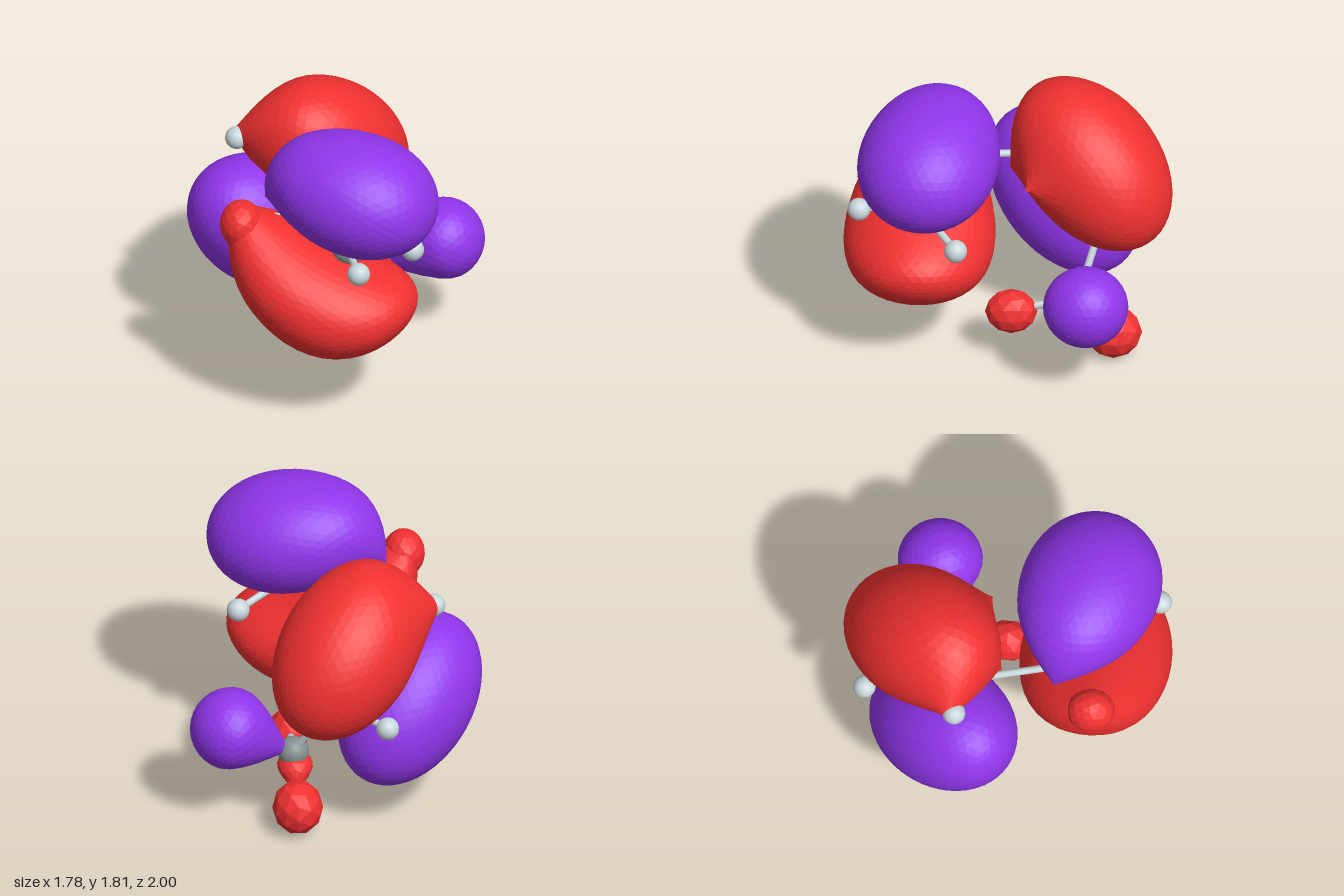
import * as THREE from 'three';

const V = (a) => new THREE.Vector3(...a);
const mat = (color, flatShading = false) => new THREE.MeshStandardMaterial({ color, flatShading });
const RED = mat(0xf03030, true), PURPLE = mat(0x9035ea, true);
const CARBON = mat(0x858f8f), PALE = mat(0xc8d6da);

// Faceted blob: an ellipsoid with its long axis along dir, optionally tapered,
// bent at the ends, and drawn out to tips, each given as [point, sharpness].
function lobe(name, material, { at, dir = [1, 0, 0], size, taper = 0, bend = [0, 0, 0], tips = [], detail = 8 }) {
  const c = V(at), a = V(dir).normalize();
  const w = new THREE.Vector3().crossVectors(a, V([0, 1, 0])).normalize();
  const u = new THREE.Vector3().crossVectors(w, a);
  const pulls = tips.map(([point, sharp]) => ({ point: V(point), sharp, dir: V(point).sub(c).normalize() }));
  const geo = new THREE.IcosahedronGeometry(1, detail);
  const pos = geo.attributes.position;
  const s = new THREE.Vector3(), p = new THREE.Vector3(), rel = new THREE.Vector3();
  for (let i = 0; i < pos.count; i++) {
    s.fromBufferAttribute(pos, i);
    const k = 1 + taper * s.x;
    p.copy(c)
      .addScaledVector(a, s.x * size[0])
      .addScaledVector(u, s.y * size[1] * k)
      .addScaledVector(w, s.z * size[2] * k)
      .addScaledVector(V(bend), s.x * s.x - 0.35);
    for (const pull of pulls) {
      const d = rel.copy(p).sub(c).normalize().dot(pull.dir);
      if (d > 0) p.lerp(pull.point, Math.pow(d, pull.sharp));
    }
    pos.setXYZ(i, p.x, p.y, p.z);
  }
  geo.computeVertexNormals();
  const mesh = new THREE.Mesh(geo, material);
  mesh.name = name;
  return mesh;
}

function ball(name, at, radius, material) {
  const mesh = new THREE.Mesh(new THREE.SphereGeometry(radius, 24, 16), material);
  mesh.position.copy(V(at));
  mesh.name = name;
  return mesh;
}

function bond(from, to) {
  const a = V(from), d = V(to).sub(a);
  const mesh = new THREE.Mesh(new THREE.CylinderGeometry(0.023, 0.023, d.length(), 12), PALE);
  mesh.position.copy(a).addScaledVector(d, 0.5);
  mesh.quaternion.setFromUnitVectors(V([0, 1, 0]), d.normalize());
  mesh.name = 'bond';
  return mesh;
}

export function createModel() {
  const model = new THREE.Group();
  model.name = 'molecularOrbital';

  // Ball-and-stick skeleton
  const carbons = [
    [0.2, 1.1, 0.57], [-0.17, 1.19, 0.38], [-0.3, 1.12, -0.2], [0, 0.88, -0.58], [0.25, 0.43, -0.42],
  ];
  // each hydrogen: carbon index, position
  const hydrogens = [
    [0, [0.32, 1.13, 0.91]], [0, [0.56, 0.99, 0.32]], [1, [-0.43, 1.28, 0.57]], [2, [-0.61, 1.35, -0.25]],
    [3, [-0.31, 0.83, -0.83]], [4, [0.26, 0.34, -0.01]], [4, [0.23, 0.16, -0.64]], [4, [0.6, 0.6, -0.46]],
  ];
  const skeleton = new THREE.Group();
  skeleton.name = 'skeleton';
  carbons.forEach((c, i) => {
    skeleton.add(ball('carbonAtom', c, 0.095, CARBON));
    if (i) skeleton.add(bond(carbons[i - 1], c));
  });
  for (const [i, h] of hydrogens) skeleton.add(ball('hydrogenAtom', h, 0.07, PALE), bond(carbons[i], h));
  model.add(skeleton);

  // Large lobes above and below the two double bonds
  model.add(
    lobe('upperFrontLobe', PURPLE, {
      at: [0.205, 1.45, 0.475], dir: [0.95, -0.17, 0.24], size: [0.55, 0.36, 0.425], taper: 0.1,
      tips: [[[-0.35, 1.29, 0.33], 8]],
    }),
    lobe('lowerFrontLobe', RED, {
      at: [0.015, 0.835, 0.54], dir: [0.9, -0.41, 0.06], size: [0.65, 0.335, 0.46], taper: 0.08,
      bend: [0, 0.18, 0], tips: [[[-0.48, 1.36, 0.56], 8], [[0.05, 1.14, 0.22], 12]],
    }),
    lobe('lowerFrontLobeEnd', RED, { at: [-0.455, 1.225, 0.57], size: [0.13, 0.15, 0.15], detail: 2 }),
    lobe('upperBackLobe', RED, {
      at: [-0.08, 1.2, -0.5], dir: [-0.5, 0.62, 0.62], size: [0.6, 0.415, 0.415],
      tips: [[[-0.66, 1.37, -0.27], 8], [[-0.2, 1.08, 0], 10], [[0.22, 1.2, -0.1], 14]],
    }),
    lobe('lowerBackLobe', PURPLE, {
      at: [-0.46, 0.74, -0.33], dir: [-0.5, 0.63, 0.59], size: [0.575, 0.395, 0.39],
    }),
  );

  // Small lobes around the end group
  model.add(
    lobe('sideLobe', PURPLE, {
      at: [0.63, 0.63, -0.47], size: [0.25, 0.25, 0.26], tips: [[[0.26, 0.43, -0.42], 2.3]], detail: 5,
    }),
    lobe('frontHydrogenLobe', RED, { at: [0.26, 0.335, -0.015], size: [0.125, 0.14, 0.16], detail: 1 }),
    lobe('backHydrogenLobe', RED, { at: [0.23, 0.165, -0.635], size: [0.155, 0.165, 0.175], detail: 1 }),
    lobe('neckLobe', RED, {
      at: [0.24, 0.345, -0.44], size: [0.11, 0.085, 0.13], tips: [[[0.235, 0.21, -0.58], 3]], detail: 2,
    }),
  );
  return model;
}
